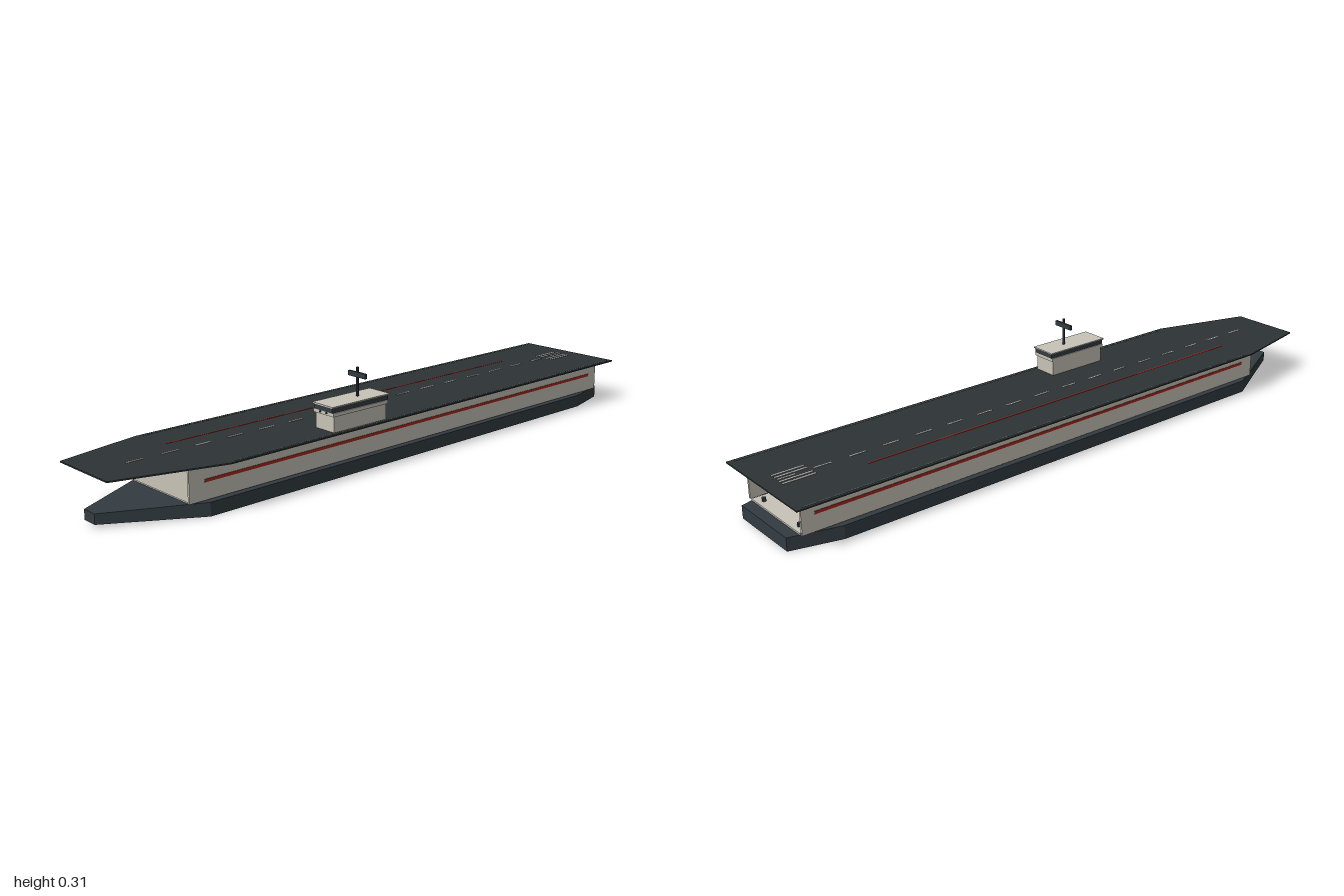
import * as THREE from 'three';

const mat = (color) => new THREE.MeshStandardMaterial({ color, flatShading: true });
const hullMat = mat(0x333c42), deckMat = mat(0x2d3335), wallMat = mat(0xc8c4b8);
const redMat = mat(0xa3281f), lineMat = mat(0xb4b5b0), greyMat = mat(0x6f7576);

export function createModel() {
  const model = new THREE.Group();

  const add = (name, geometry, material, x = 0, y = 0, z = 0) => {
    const mesh = new THREE.Mesh(geometry, material);
    mesh.name = name;
    mesh.position.set(x, y, z);
    model.add(mesh);
    return mesh;
  };
  // Box given by its extents on each axis
  const block = (name, material, [x0, x1], [y0, y1], [z0, z1]) =>
    add(name, new THREE.BoxGeometry(x1 - x0, y1 - y0, z1 - z0), material,
      (x0 + x1) / 2, (y0 + y1) / 2, (z0 + z1) / 2);
  // Flat slab with a plan outline of [x, z] corners
  const slab = (outline, height) => {
    const shape = new THREE.Shape(outline.map(([x, z]) => new THREE.Vector2(x, -z)));
    return new THREE.ExtrudeGeometry(shape, { depth: height, bevelEnabled: false }).rotateX(-Math.PI / 2);
  };

  // Lower hull with a chamfered stern
  add('hull', slab([[-0.12, -1], [0.12, -1], [0.16, -0.85], [0.16, 0.73], [-0.16, 0.73], [-0.16, -0.85]], 0.04), hullMat);

  // Tapered bow whose keel rises towards the tip
  const bow = slab([[-0.16, 0.73], [0.16, 0.73], [0.025, 1], [-0.025, 1]], 0.04);
  const p = bow.attributes.position;
  for (let i = 0; i < p.count; i++) {
    if (p.getZ(i) > 0.9 && p.getY(i) < 0.02) p.setY(i, 0.01);
  }
  bow.computeVertexNormals();
  add('bow', bow, hullMat);

  // Hangar: floor, side walls and front bulkhead, open at the stern
  block('hangarFloor', wallMat, [-0.13, 0.13], [0.04, 0.045], [-0.965, 0.78]);
  block('hangarBulkhead', wallMat, [-0.137, 0.137], [0.044, 0.139], [0.772, 0.782]);
  for (const s of [-1, 1]) {
    const wall = new THREE.BoxGeometry(0.007, 0.1, 1.75);
    add('hangarWall', wall, wallMat, s * 0.1395, 0.092, -0.09);
    add('sideStripe', new THREE.BoxGeometry(0.002, 0.009, 1.66), redMat, s * 0.1435, 0.097, -0.095);
    add('bollard', new THREE.CylinderGeometry(0.006, 0.006, 0.012, 10), hullMat, s * 0.095, 0.05, -0.945);
  }

  // Flight deck
  add('flightDeck', slab([[-0.19, -1], [0.19, -1], [0.19, 0.68], [0.095, 1], [-0.135, 1], [-0.19, 0.73]], 0.004),
    deckMat, 0, 0.1415, 0);

  // Deck markings
  const top = [0.145, 0.1465];
  for (const s of [-1, 1]) {
    block('edgeLine', greyMat, [s * 0.18 - 0.0015, s * 0.18 + 0.0015], top, [-0.98, s < 0 ? 0.71 : 0.66]);
    for (const x of [0.015, 0.031]) {
      block('thresholdStripe', lineMat, [s * x - 0.003, s * x + 0.003], top, [-0.95, -0.85]);
    }
  }
  block('landingLine', redMat, [-0.073, -0.068], top, [-0.71, 0.71]);
  for (let i = 0; i < 17; i++) {
    const z = -0.921 + i * 0.111;
    block('centreDash', lineMat, [-0.0025, 0.0025], top, [z - 0.027, z + 0.027]);
  }

  // Island with rim, window band and roof
  block('island', wallMat, [0.095, 0.174], [0.145, 0.204], [0.097, 0.303]);
  block('islandRim', wallMat, [0.092, 0.177], [0.193, 0.204], [0.092, 0.308]);
  block('bridgeWindows', hullMat, [0.095, 0.174], [0.204, 0.219], [0.09, 0.31]);
  block('bridgeRoof', wallMat, [0.091, 0.178], [0.219, 0.223], [0.086, 0.312]);
  for (const x of [0.121, 0.148]) {
    add('floodlight', new THREE.CylinderGeometry(0.003, 0.003, 0.004, 10).rotateX(Math.PI / 2), hullMat, x, 0.2, 0.309);
  }

  // Mast and radar bar
  add('mast', new THREE.CylinderGeometry(0.004, 0.004, 0.088, 10), hullMat, 0.134, 0.266, 0.175);
  block('radarBar', hullMat, [0.098, 0.17], [0.28, 0.295], [0.171, 0.179]);

  return model;
}
